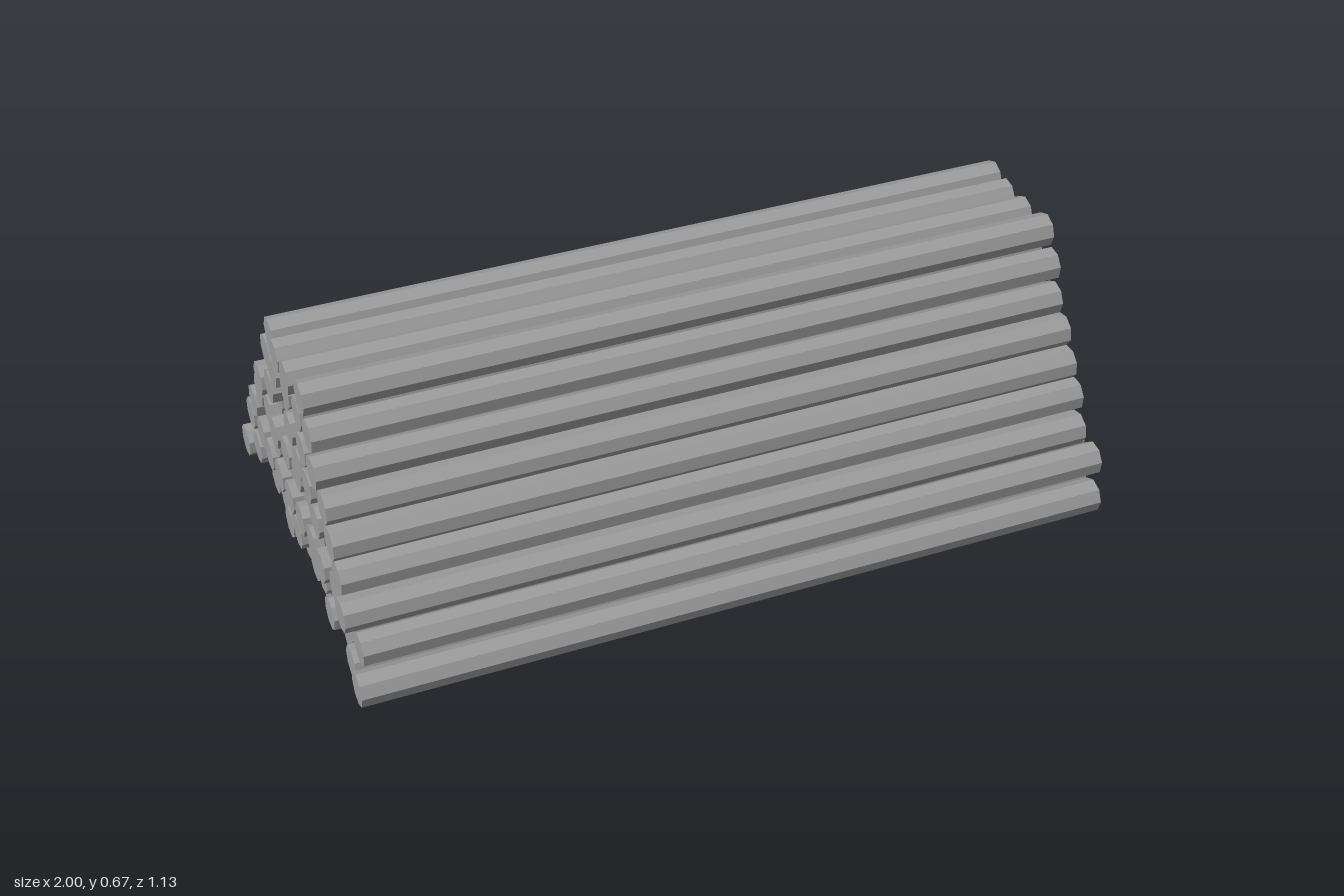
import * as THREE from 'three';

// Stack of eight-sided logs lying along x, in rows that narrow upwards.
export function createModel() {
  const group = new THREE.Group();
  group.name = 'logPile';
  const material = new THREE.MeshStandardMaterial({ color: 0x9d9d9d, flatShading: true });

  let seed = 7;
  const random = () => {
    seed = (seed * 16807) % 2147483647;
    return seed / 2147483647;
  };

  const radius = 0.0435, length = 1.955;
  const geometry = new THREE.CylinderGeometry(radius, radius, length, 8);
  geometry.rotateZ(Math.PI / 2);

  // per row, bottom to top: height, z of the front and back logs,
  // how far those two are pushed to the left, and the most an inner log is pushed
  const rows = [
    [0.045, 0.522, -0.522, 0, 0, 0.045],
    [0.119, 0.47, -0.477, 0.025, 0.03, 0.045],
    [0.191, 0.421, -0.435, 0, 0.005, 0.014],
    [0.264, 0.376, -0.384, 0.01, 0.005, 0.045],
    [0.332, 0.33, -0.332, 0.01, 0.012, 0.014],
    [0.404, 0.284, -0.278, 0.012, 0.005, 0.045],
    [0.477, 0.239, -0.227, 0.005, 0.043, 0.045],
    [0.554, 0.201, -0.175, 0.012, 0.01, 0.045],
    [0.63, 0.154, -0.127, 0.012, 0.014, 0.014],
  ];

  rows.forEach(([y, zFront, zBack, frontShift, backShift, maxShift], r) => {
    const last = 11 - r;
    const row = new THREE.Group();
    row.name = `logRow${r + 1}`;
    for (let i = 0; i <= last; i++) {
      const log = new THREE.Mesh(geometry, material);
      log.name = 'log';
      let shift = random() * maxShift;
      if (i === 0) shift = frontShift;
      if (i === last) shift = backShift;
      const z = THREE.MathUtils.lerp(zFront, zBack, i / last);
      log.position.set(-1 + length / 2 + shift, y, z);
      log.rotation.x = random() * Math.PI / 4;
      row.add(log);
    }
    group.add(row);
  });
  return group;
}
